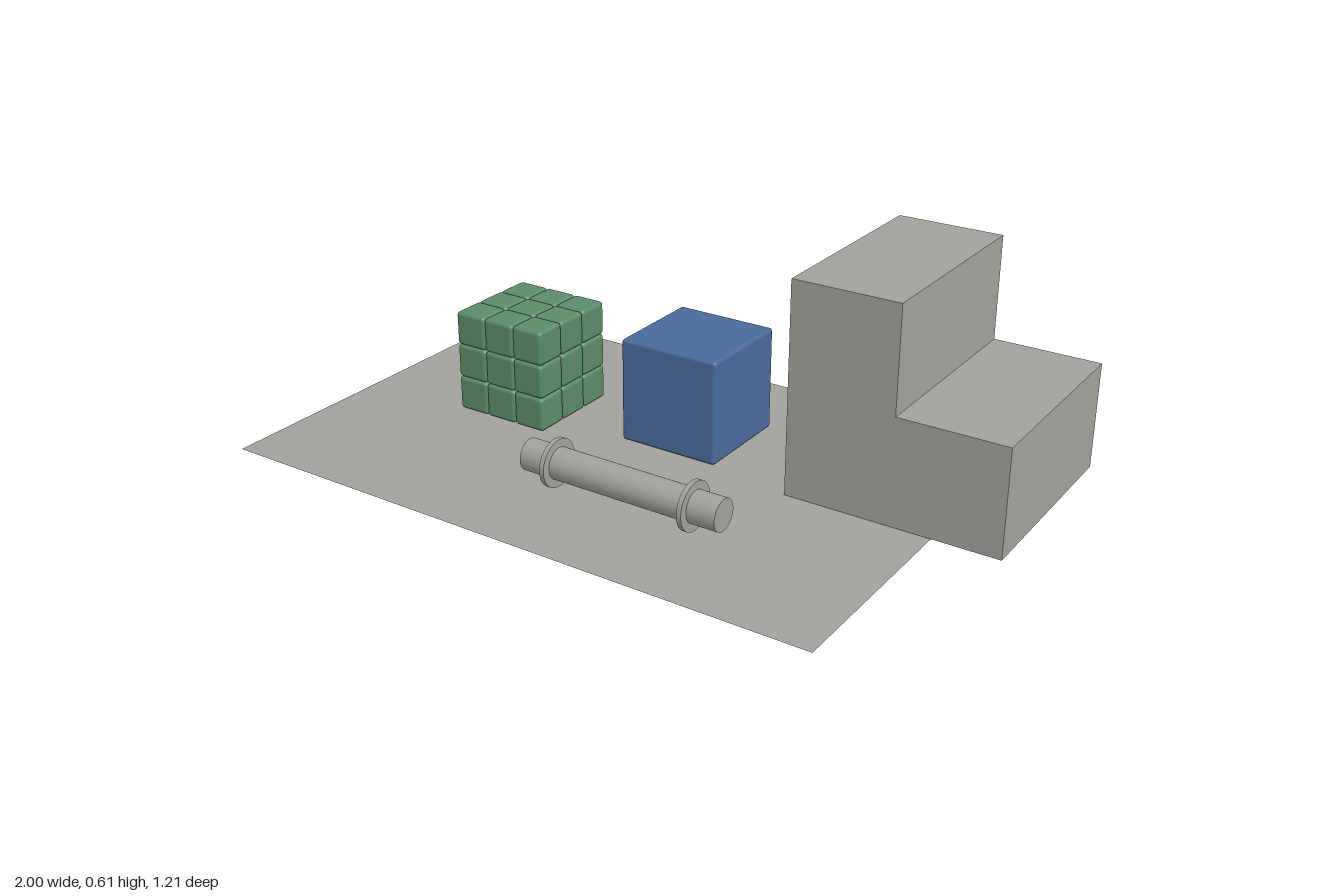
import * as THREE from 'three';
import { RoundedBoxGeometry } from 'three/addons/geometries/RoundedBoxGeometry.js';

const grey = new THREE.MeshStandardMaterial({ color: 0xa3a19c });
grey.name = 'stone grey';
grey.side = THREE.DoubleSide;
const green = new THREE.MeshStandardMaterial({ color: 0x5b8c69 });
green.name = 'green';
const blue = new THREE.MeshStandardMaterial({ color: 0x4a6a9b });
blue.name = 'blue';

function add(parent, name, geometry, material, x, y, z) {
  const mesh = new THREE.Mesh(geometry, material);
  mesh.name = name;
  mesh.position.set(x, y, z);
  parent.add(mesh);
  return mesh;
}

// Two-level step block, an L profile extruded along z
function createSteps(parent) {
  const profile = new THREE.Shape([
    [0.39, 0.004], [1, 0.004], [1, 0.31], [0.695, 0.31], [0.695, 0.61], [0.39, 0.61],
  ].map(([x, y]) => new THREE.Vector2(x, y)));
  const geometry = new THREE.ExtrudeGeometry(profile, { depth: 0.605, bevelEnabled: false });
  add(parent, 'steps', geometry, grey, 0, 0, -0.605);
}

// Cube assembled from small bevelled blocks, leaving grooves between them
function createGroovedCube() {
  const cube = new THREE.Group();
  cube.name = 'groovedCube';
  const pitch = 0.101;
  const block = new RoundedBoxGeometry(pitch, pitch, pitch, 2, 0.011);
  for (let i = -1; i <= 1; i++)
    for (let j = -1; j <= 1; j++)
      for (let k = -1; k <= 1; k++)
        if (i || j || k) add(cube, 'block', block, green, i * pitch, j * pitch, k * pitch);
  cube.position.set(-0.517, 0.156, -0.093);
  return cube;
}

// Horizontal bar with two collars
function createRoller() {
  const roller = new THREE.Group();
  roller.name = 'roller';
  const parts = [['bar', 0.045, 0.605, 0], ['collar', 0.068, 0.014, -0.213], ['collar', 0.068, 0.014, 0.213]];
  for (const [name, radius, length, x] of parts) {
    const geometry = new THREE.CylinderGeometry(radius, radius, length, 48).rotateZ(Math.PI / 2);
    add(roller, name, geometry, grey, x, 0, 0);
  }
  roller.position.set(0.089, 0.082, 0.305);
  return roller;
}

export function createModel() {
  const model = new THREE.Group();
  model.name = 'blockYard';
  // Thin floor sheet
  add(model, 'floor', new THREE.PlaneGeometry(1.81, 1.21).rotateX(-Math.PI / 2), grey, -0.095, 0.002, 0);
  createSteps(model);
  add(model, 'blueCube', new RoundedBoxGeometry(0.305, 0.305, 0.305, 3, 0.01), blue, -0.002, 0.157, -0.186);
  model.add(createGroovedCube(), createRoller());
  return model;
}
